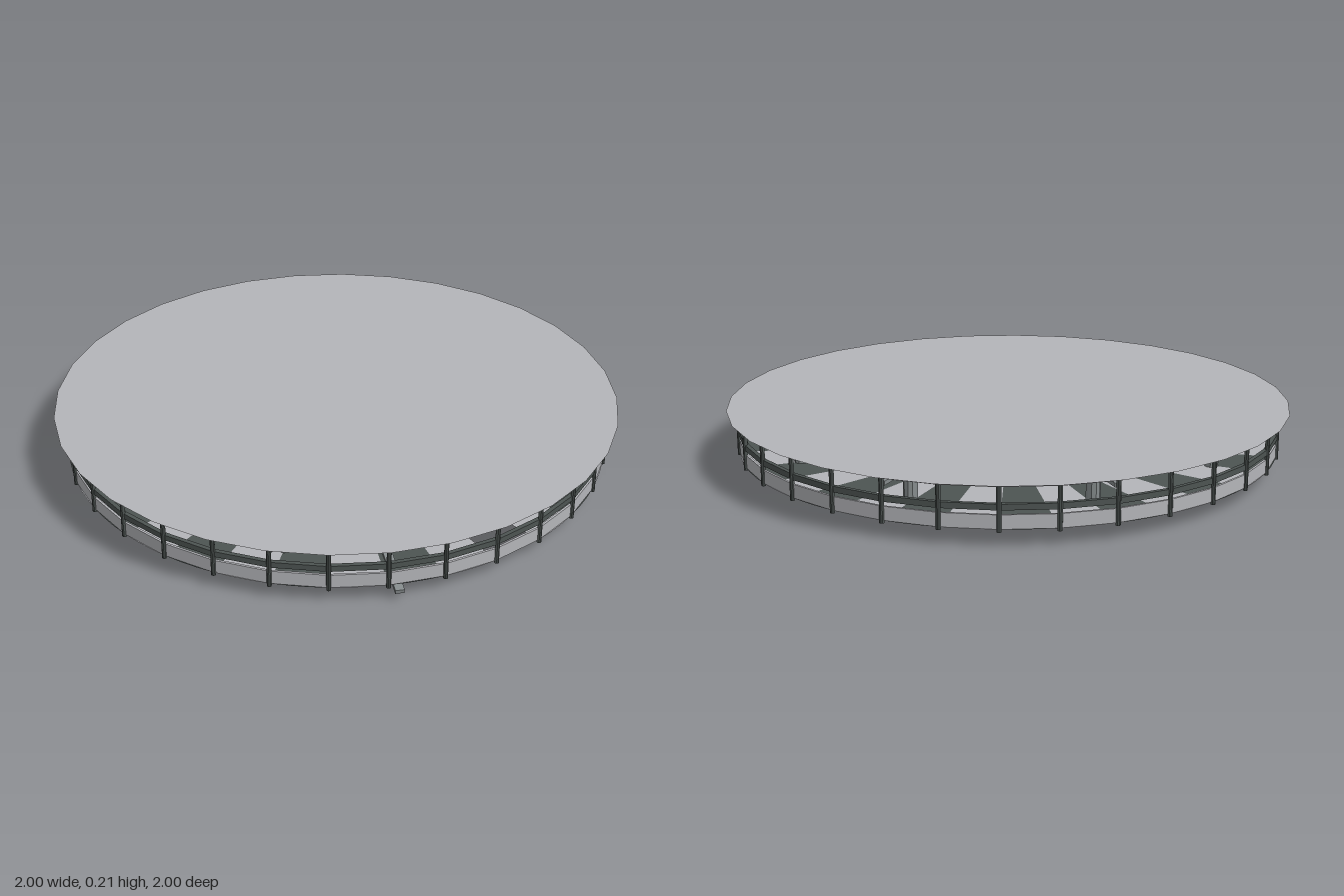
import * as THREE from 'three';

const SIDES = 32;
const STEP = (Math.PI * 2) / SIDES;

function mat(name, color, side = THREE.FrontSide) {
  const m = new THREE.MeshStandardMaterial({ color, side, flatShading: true });
  m.name = name;
  return m;
}

export function createModel() {
  const root = new THREE.Group();
  const pale = mat('paleGrey', 0xb4b5b9, THREE.DoubleSide);
  const dark = mat('darkGrey', 0x4d5452, THREE.DoubleSide);
  const steel = mat('steelGrey', 0x858b8c);

  function add(name, geometry, material, parent = root) {
    const mesh = new THREE.Mesh(geometry, material);
    mesh.name = name;
    parent.add(mesh);
    return mesh;
  }

  // A ring with a rectangular section and as many sides as the roof
  function band(name, inner, outer, bottom, top, material) {
    const profile = [[inner, bottom], [outer, bottom], [outer, top], [inner, top], [inner, bottom]]
      .map(([x, y]) => new THREE.Vector2(x, y));
    add(name, new THREE.LatheGeometry(profile, SIDES), material);
  }

  // An upright round bar; angle is measured from the front towards +x
  function upright(name, distance, angle, radius, bottom, top, material, parent) {
    const bar = add(name, new THREE.CylinderGeometry(radius, radius, top - bottom, 10), material, parent);
    bar.position.set(Math.sin(angle) * distance, (bottom + top) / 2, Math.cos(angle) * distance);
  }

  // Flat roof sheet
  const roof = new THREE.CircleGeometry(1, SIDES);
  roof.rotateX(-Math.PI / 2);
  add('roof', roof, pale).position.y = 0.21;

  // Floor in alternating wedges, with one wedge left open at the front
  const floor = new THREE.Group();
  floor.name = 'floor';
  root.add(floor);
  for (let k = 1; k < SIDES; k++) {
    const wedge = new THREE.CircleGeometry(0.958, 1, Math.PI / 2 - (k + 1) * STEP, STEP);
    wedge.rotateX(Math.PI / 2);
    add('floorWedge', wedge, k % 2 ? pale : dark, floor).position.y = 0.058;
  }

  // Rails and skirt around the edge
  band('skirt', 0.95, 0.958, 0.058, 0.105, pale);
  band('middleRail', 0.945, 0.96, 0.12, 0.14, dark);
  band('topRail', 0.945, 0.96, 0.195, 0.207, pale);

  // Edge posts
  const posts = new THREE.Group();
  posts.name = 'edgePosts';
  root.add(posts);
  for (let i = 0; i < SIDES; i++) {
    upright('edgePost', 0.958, i * STEP, 0.008, 0.05, 0.208, dark, posts);
  }

  // Eight spokes, each a beam carried on four pillars
  for (let i = 0; i < 8; i++) {
    const angle = (i * Math.PI) / 4;
    const spoke = new THREE.Group();
    spoke.name = 'spoke';
    root.add(spoke);
    for (const [distance, radius] of [[0.764, 0.024], [0.54, 0.016], [0.382, 0.02], [0.272, 0.015]]) {
      upright('pillar', distance, angle, radius, 0.055, 0.208, steel, spoke);
    }
    const beam = add('beam', new THREE.BoxGeometry(0.018, 0.014, 0.95), steel, spoke);
    beam.position.set(Math.sin(angle) * 0.475, 0.178, Math.cos(angle) * 0.475);
    beam.rotation.y = angle;
  }

  // Sloping arm from the centre down through the floor
  const armPivot = new THREE.Group();
  armPivot.name = 'slopingArm';
  armPivot.position.y = 0.185;
  armPivot.rotation.order = 'YXZ';
  armPivot.rotation.set(Math.atan2(0.15, 0.97), -0.357, 0);
  root.add(armPivot);
  add('arm', new THREE.BoxGeometry(0.03, 0.014, 0.98), steel, armPivot).position.z = 0.49;

  // Saddle-shaped hoop under the centre
  const hoop = [];
  for (let i = 0; i < 24; i++) {
    const a = (i / 24) * Math.PI * 2;
    hoop.push(new THREE.Vector3(Math.sin(a) * 0.145, 0.002 + 0.04 * Math.cos(a) ** 2, Math.cos(a) * 0.145));
  }
  const hoopCurve = new THREE.CatmullRomCurve3(hoop, true);
  add('hoop', new THREE.TubeGeometry(hoopCurve, 48, 0.002, 5, true), dark);

  return root;
}
